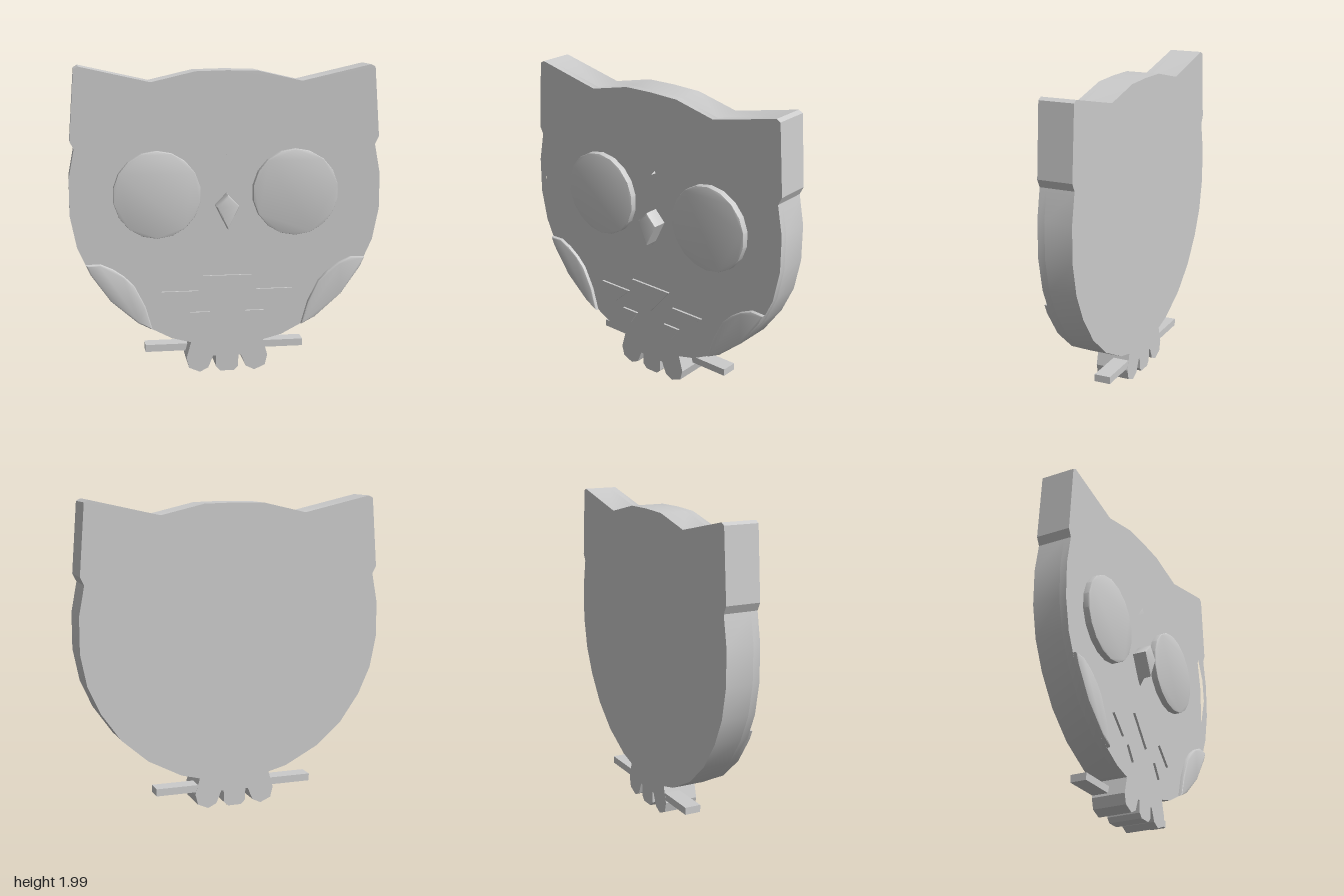
import * as THREE from 'three';
import { toCreasedNormals } from 'three/addons/utils/BufferGeometryUtils.js';

const BACK = -0.135, FLOOR = 0.042, FRONT = 0.087;
const material = new THREE.MeshStandardMaterial({ color: 0xcccccc });

const toVectors = (pts) => pts.map(([x, y]) => new THREE.Vector2(x, y));
const flip = (pts) => pts.map(([x, y]) => [-x, y]);

// Closes a right-hand half outline with its mirror image
const symmetric = (half) => [...half, ...flip(half).reverse().filter(([x]) => x !== 0)];

// Plate between two depths, with an optional hole and a chamfered front rim
function plate(name, pts, z0, z1, { hole, bevel = 0 } = {}) {
  const shape = new THREE.Shape(toVectors(pts));
  if (hole) shape.holes.push(new THREE.Path(toVectors(hole)));
  const geometry = new THREE.ExtrudeGeometry(shape, {
    depth: z1 - z0 - bevel,
    bevelEnabled: bevel > 0,
    bevelThickness: bevel, bevelSize: bevel, bevelOffset: -bevel, bevelSegments: 2,
  });
  geometry.translate(0, 0, z0);
  const mesh = new THREE.Mesh(toCreasedNormals(geometry, 0.5), material);
  mesh.name = name;
  return mesh;
}

export function createModel() {
  const group = new THREE.Group();
  group.name = 'owlPlaque';
  const pair = (name, pts, z0, z1, options) => group.add(
    plate(name + 'Left', pts, z0, z1, options),
    plate(name + 'Right', flip(pts), z0, z1, options),
  );

  // Silhouette: crown, ear, side, belly, then toes
  const outline = symmetric([
    [0, 1.97], [0.2, 1.965], [0.48, 1.9], [0.925, 2], [0.953, 1.985], [0.987, 1.54], [0.962, 1.49],
    [0.998, 1.3], [0.998, 1.07], [0.957, 0.866], [0.877, 0.69], [0.75, 0.51], [0.578, 0.36],
    [0.36, 0.246], [0.237, 0.214],
    [0.267, 0.107], [0.25, 0.04], [0.18, 0.01], [0.125, 0.037], [0.092, 0.117],
    [0.075, 0.117], [0.072, 0.04], [0.045, 0.012],
  ]);

  // Joined eye rings, sunk into the face
  const eyeMask = symmetric([
    [0, 1.432], [0.094, 1.55], [0.23, 1.645], [0.4, 1.695], [0.567, 1.68], [0.733, 1.61],
    [0.866, 1.476], [0.936, 1.33], [0.952, 1.17], [0.904, 1.005], [0.807, 0.856], [0.668, 0.743],
    [0.508, 0.688], [0.342, 0.706], [0.193, 0.765], [0.075, 0.861], [0, 0.963],
  ]);
  group.add(
    plate('bodyBack', outline, BACK, FLOOR),
    plate('bodyFace', outline, FLOOR, FRONT, { hole: eyeMask }),
  );

  // Pupils
  const pupil = Array.from({ length: 18 }, (_, i) => {
    const a = Math.PI / 2 + (i / 18) * Math.PI * 2;
    return [0.447 + 0.28 * Math.cos(a), 1.187 + 0.28 * Math.sin(a)];
  });
  pair('pupil', pupil, FLOOR, FRONT - 0.002, { bevel: 0.006 });

  // Beak
  group.add(plate('beak', [[0, 1.188], [0.073, 1.112], [0, 0.963], [-0.073, 1.112]], FLOOR, 0.135,
    { bevel: 0.008 }));

  // Wings, flush with the silhouette on the outside
  pair('wing', [
    [0.904, 0.752], [0.813, 0.755], [0.735, 0.72], [0.663, 0.67], [0.6, 0.605], [0.53, 0.465], [0.487, 0.314],
    [0.578, 0.36], [0.75, 0.51], [0.877, 0.69],
  ], FRONT - 0.02, 0.111, { bevel: 0.01 });

  // Breast feathers
  const featherTop = 0.102;
  group.add(plate('featherCentre', [[-0.158, 0.658], [0.158, 0.658], [0, 0.472]], FRONT, featherTop));
  pair('featherUpper', [[0.187, 0.56], [0.428, 0.56], [0.305, 0.45]], FRONT, featherTop);
  pair('featherLower', [[0.115, 0.418], [0.243, 0.418], [0.177, 0.326]], FRONT, featherTop);

  // Perch, one stub out of each side of the feet
  pair('perch', [[0.2, 0.124], [0.526, 0.124], [0.526, 0.171], [0.2, 0.171]], BACK + 0.001, -0.028);

  return group;
}
